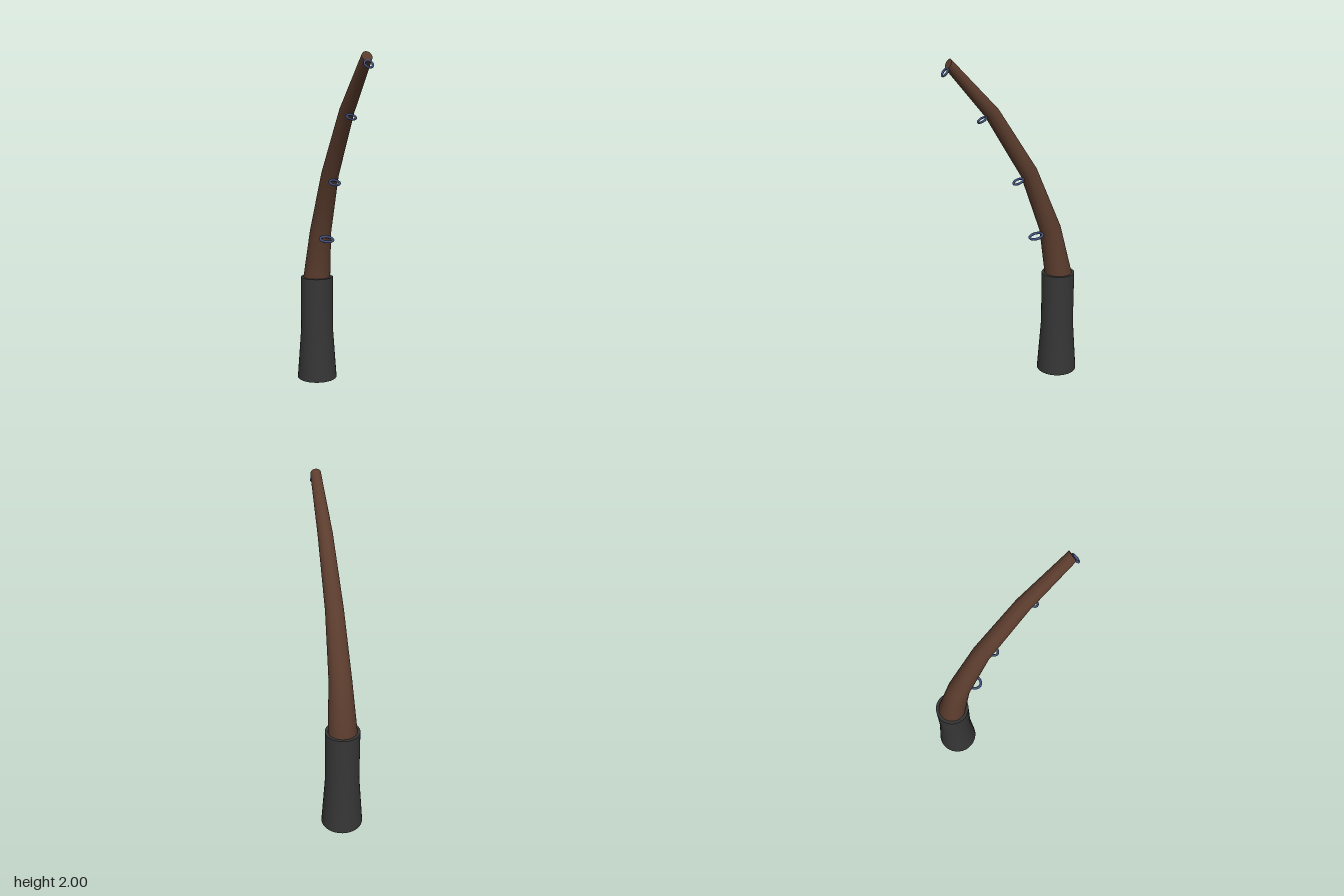
import * as THREE from 'three';
import { toCreasedNormals } from 'three/addons/utils/BufferGeometryUtils.js';

const material = (name, color) => {
  const m = new THREE.MeshStandardMaterial({ color });
  m.name = name;
  return m;
};

export function createModel() {
  const group = new THREE.Group();
  const black = material('gripBlack', 0x363636);
  const brown = material('rodBrown', 0x5c3d2e);
  const blue = material('ringBlue', 0x43527f);

  const add = (name, geometry, mat) => {
    const mesh = new THREE.Mesh(geometry, mat);
    mesh.name = name;
    group.add(mesh);
    return mesh;
  };

  // Hollow flared grip: up the outside, over the lip and down the inside
  const profile = [
    [0.107, 0], [0.127, 0], [0.103, 0.33], [0.103, 0.667],
    [0.084, 0.667], [0.084, 0.33], [0.107, 0],
  ].map(([r, y]) => new THREE.Vector2(r, y));
  const grip = toCreasedNormals(new THREE.LatheGeometry(profile, 32), 0.5);
  add('grip', grip, black).position.z = -0.32;

  // Bent tapering rod; each section: front z, front y, back z, back y, half width
  const sections = [
    [-0.235, 0.64, -0.405, 0.64, 0.087],
    [-0.235, 0.667, -0.405, 0.667, 0.086],
    [-0.19, 0.95, -0.316, 0.985, 0.067],
    [-0.05, 1.31, -0.14, 1.36, 0.053],
    [0.19, 1.68, 0.115, 1.722, 0.043],
    [0.425, 1.945, 0.4, 2.0, 0.031],
  ];
  const last = sections.length - 1;
  const rod = new THREE.CylinderGeometry(1, 1, last, 32, last);
  const pos = rod.attributes.position;
  for (let i = 0; i < pos.count; i++) {
    const [fz, fy, bz, by, r] = sections[Math.round(pos.getY(i) + last / 2)];
    const t = (pos.getZ(i) + 1) / 2;
    pos.setXYZ(i, pos.getX(i) * r, by + (fy - by) * t, bz + (fz - bz) * t);
  }
  add('rod', toCreasedNormals(rod, 0.5), brown);

  // Line rings along the front; inner and outer edge in (z, y)
  const rings = [
    [-0.197, 0.946, -0.105, 0.92, 0.008],
    [-0.055, 1.306, 0.012, 1.274, 0.007],
    [0.188, 1.684, 0.242, 1.65, 0.006],
    [0.415, 1.956, 0.45, 1.908, 0.006],
  ];
  rings.forEach(([z0, y0, z1, y1, tube], i) => {
    const outer = Math.hypot(z1 - z0, y1 - y0) / 2;
    const ring = add(`lineRing${i + 1}`, new THREE.TorusGeometry(outer - tube, tube, 10, 32), blue);
    ring.position.set(0, (y0 + y1) / 2, (z0 + z1) / 2);
    ring.rotation.x = Math.atan2(z1 - z0, y1 - y0);
  });

  return group;
}
